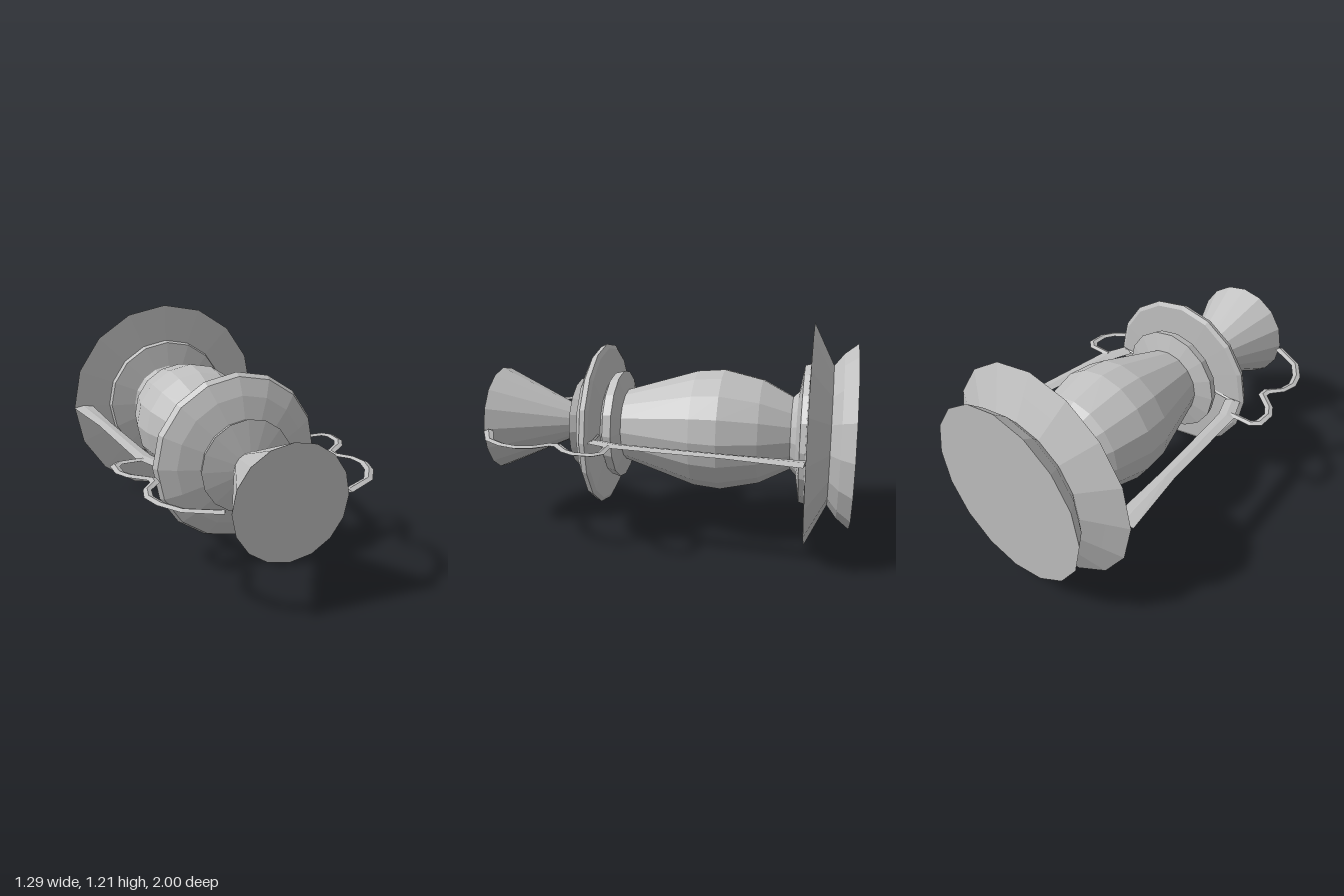
import * as THREE from 'three';

const AXIS = 0.606; // height of the long axis

export function createModel() {
  const group = new THREE.Group();
  const metal = new THREE.MeshStandardMaterial({ color: 0xbfbfbf, flatShading: true });
  metal.name = 'grey metal';

  const add = (name, geometry) => {
    const mesh = new THREE.Mesh(geometry, metal);
    mesh.name = name;
    mesh.position.y = AXIS;
    group.add(mesh);
  };

  // Sixteen-sided turned part; profile is [radius, z] from back to front
  const turned = (name, profile) => {
    const points = profile.map(([r, z]) => new THREE.Vector2(r, z));
    add(name, new THREE.LatheGeometry(points, 16).rotateX(Math.PI / 2));
  };

  turned('base', [[0, -1], [0.5, -1], [0.445, -0.93], [0.38, -0.88], [0.495, -0.823],
    [0.605, -0.769], [0.383, -0.76]]);
  turned('baseCollar', [[0.383, -0.76], [0.375, -0.73], [0.23, -0.705], [0.2, -0.675]]);
  turned('body', [[0.2, -0.675], [0.287, -0.51], [0.335, -0.3], [0.322, -0.153], [0.2, 0.243]]);
  turned('neckRing', [[0.2, 0.243], [0.303, 0.27], [0.29, 0.32], [0.24, 0.345]]);
  turned('shoulderDisc', [[0.24, 0.345], [0.43, 0.354], [0.453, 0.367], [0.437, 0.4],
    [0.35, 0.445], [0.235, 0.48]]);
  turned('upperRing', [[0.235, 0.48], [0.25, 0.52], [0.09, 0.555]]);
  turned('flaredMouth', [[0.09, 0.555], [0.294, 1], [0, 1]]);

  // Flat bar with a diamond section along [x, z, width] points, for one side
  const bar = (name, path, side) => {
    const pts = path.map(([x, z]) => new THREE.Vector2(x * side, z));
    const positions = [], index = [];
    pts.forEach((p, i) => {
      const before = p.clone().sub(pts[Math.max(i - 1, 0)]).normalize();
      const after = pts[Math.min(i + 1, pts.length - 1)].clone().sub(p).normalize();
      const d = before.add(after).normalize();
      const h = path[i][2] / 2, t = 0.009;
      positions.push(p.x + d.y * h, 0, p.y - d.x * h, p.x, t, p.y,
        p.x - d.y * h, 0, p.y + d.x * h, p.x, -t, p.y);
      if (i === 0) return;
      for (let k = 0; k < 4; k++) {
        const b = i * 4, a = b - 4, n = (k + 1) % 4;
        index.push(a + k, a + n, b + k, a + n, b + n, b + k);
      }
    });
    const e = (pts.length - 1) * 4;
    index.push(0, 3, 2, 0, 2, 1, e, e + 1, e + 2, e, e + 2, e + 3);
    const geometry = new THREE.BufferGeometry();
    geometry.setAttribute('position', new THREE.Float32BufferAttribute(positions, 3));
    geometry.setIndex(index);
    geometry.computeVertexNormals();
    add(name, geometry);
  };

  const strut = [[0.55, -0.765, 0.12], [0.505, -0.38, 0.08], [0.465, 0.05, 0.085],
    [0.45, 0.2, 0.09], [0.395, 0.34, 0.085]];
  const strutFoot = [[0.41, 0.338, 0.02], [0.27, 0.345, 0.012]];
  const curl = [[0.46, 0.233, 0.04], [0.585, 0.235, 0.045], [0.62, 0.27, 0.05], [0.62, 0.36, 0.045],
    [0.585, 0.42, 0.045], [0.495, 0.495, 0.05], [0.495, 0.54, 0.05], [0.555, 0.61, 0.04],
    [0.572, 0.69, 0.045], [0.545, 0.78, 0.045], [0.475, 0.88, 0.045], [0.31, 0.965, 0.05]];

  for (const [side, label] of [[1, 'left'], [-1, 'right']]) {
    bar(label + 'Strut', strut, side);
    bar(label + 'StrutFoot', strutFoot, side);
    bar(label + 'CurledHandle', curl, side);
  }
  return group;
}
